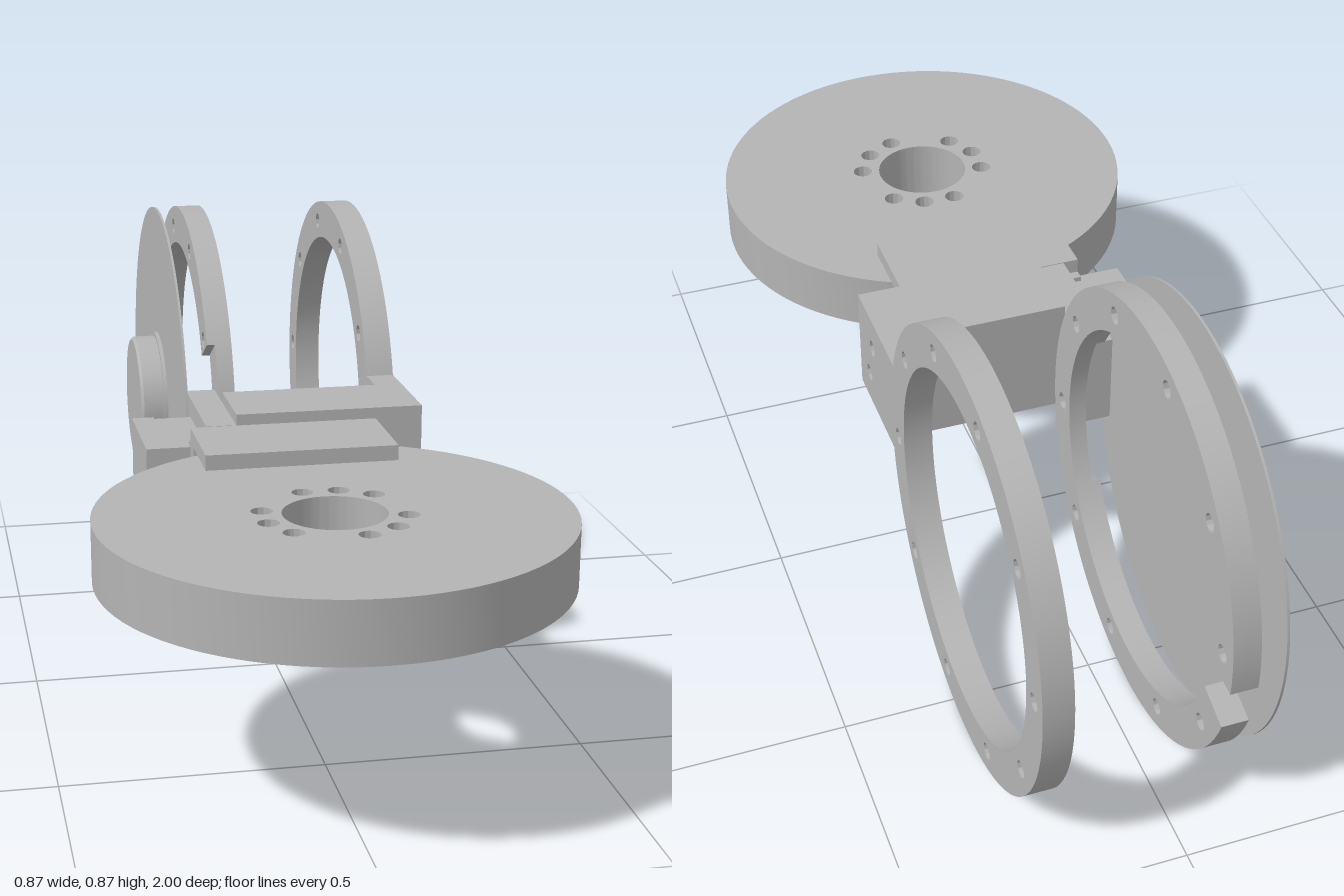
import * as THREE from 'three';
import { toCreasedNormals } from 'three/addons/utils/BufferGeometryUtils.js';

const grey = new THREE.MeshStandardMaterial({ color: 0xb4b4b4 });
grey.name = 'grey';
const RAD = Math.PI / 180;
const R = 0.433, INNER = 0.352, CU = 0.567, CY = 0.433; // shared ring centre and radii

export function createModel() {
  const model = new THREE.Group();

  function add(name, geometry) {
    const mesh = new THREE.Mesh(geometry, grey);
    mesh.name = name;
    model.add(mesh);
    return mesh;
  }
  // Box from its limits on each axis
  function box(name, x0, x1, y0, y1, z0, z1) {
    add(name, new THREE.BoxGeometry(x1 - x0, y1 - y0, z1 - z0))
      .position.set((x0 + x1) / 2, (y0 + y1) / 2, (z0 + z1) / 2);
  }
  function circle(type, x, y, r) {
    const c = new type();
    c.absarc(x, y, r, 0, Math.PI * 2, false);
    return c;
  }
  function extrude(shape, depth, segments = 48) {
    return new THREE.ExtrudeGeometry(shape, { depth, bevelEnabled: false, curveSegments: segments });
  }
  // Plates standing upright: drawn in (-z, y), extruded along x
  function upright(name, shape, x0, x1) {
    const g = extrude(shape, x1 - x0).rotateY(Math.PI / 2).translate(x0, 0, 0);
    add(name, toCreasedNormals(g, 0.5));
  }
  // Plates lying flat: drawn in (x, -z), extruded upward
  function flat(name, shape, y0, y1) {
    const g = extrude(shape, y1 - y0).rotateX(-Math.PI / 2).translate(0, y0, 0);
    add(name, toCreasedNormals(g, 0.5));
  }
  // Sector of a ring with the bolt holes that fall inside it
  function ringSector(from, to) {
    const s = new THREE.Shape();
    s.absarc(CU, CY, R, from * RAD, to * RAD, false);
    s.absarc(CU, CY, INNER, to * RAD, from * RAD, true);
    s.closePath();
    boltHoles(s, from, to);
    return s;
  }
  function boltHoles(shape, from, to) {
    for (let a = 3 - 360; a < 360; a += 36) {
      if (a < from + 2.6 || a > to - 2.6) continue;
      shape.holes.push(circle(THREE.Path, CU + 0.39 * Math.cos(a * RAD), CY + 0.39 * Math.sin(a * RAD), 0.017));
    }
  }

  // Horizontal wheel with central bore and nine holes
  const wheelZ = 0.567;
  function wheelShape(radius, skipped) {
    const s = circle(THREE.Shape, 0, -wheelZ, radius);
    s.holes.push(circle(THREE.Path, 0, -wheelZ, 0.095));
    for (let i = 0; i < 12; i++) {
      if (skipped.includes(i)) continue;
      const a = (15 + i * 30) * RAD;
      s.holes.push(circle(THREE.Path, 0.131 * Math.cos(a), -wheelZ + 0.131 * Math.sin(a), 0.02));
    }
    return s;
  }
  flat('wheel', wheelShape(R, [0, 4, 8]), 0.405, 0.52);
  flat('wheelBoss', wheelShape(0.18, []), 0.396, 0.405);

  // Left side open ring
  const openRing = circle(THREE.Shape, CU, CY, R);
  openRing.holes.push(circle(THREE.Path, CU, CY, INNER));
  boltHoles(openRing, -10, 350);
  upright('openRing', openRing, 0.225, 0.282);

  // Right side split ring, its outer layer cut away near the bracket
  upright('splitRing', ringSector(-5, 341), -0.093, -0.058);
  upright('splitRingUpperLayer', ringSector(-5, 150.5), -0.11, -0.093);
  upright('splitRingLowerLayer', ringSector(-150.5, -19), -0.11, -0.093);

  // Thin cover disc and its stepped hub
  upright('coverDisc', circle(THREE.Shape, CU, CY, R), -0.162, -0.157);
  const hubProfile = [[0.152, 0], [0.152, 0.008], [0.143, 0.008], [0.143, 0.052], [0.137, 0.058], [0, 0.058]]
    .map(([r, h]) => new THREE.Vector2(r, h));
  const hub = new THREE.LatheGeometry(hubProfile, 64).rotateZ(Math.PI / 2);
  add('hub', toCreasedNormals(hub, 0.5)).position.set(-0.162, CY, -CU);

  // Bracket between the wheel and the rings
  box('bracketBlock', -0.095, 0.225, 0.357, 0.572, -0.085, 0.087);
  const arm = new THREE.Shape();
  arm.moveTo(-0.087, 0.357);
  arm.lineTo(0.16, 0.357);
  arm.lineTo(0.16, 0.572);
  arm.lineTo(-0.087, 0.572);
  arm.closePath();
  arm.holes.push(circle(THREE.Path, 0.006, 0.503, 0.017), circle(THREE.Path, -0.022, 0.424, 0.017));
  upright('ringArm', arm, 0.225, 0.282);

  // Clip and side block
  box('clip', -0.155, -0.095, 0.357, 0.55, -0.19, 0.085);
  box('sideBlock', -0.23, -0.155, 0.357, 0.51, -0.13, 0.085);
  box('sideBlockEnd', -0.275, -0.23, 0.357, 0.51, -0.143, 0.085);

  // Wheel holder: top plate, upright web and bottom lip
  box('topPlate', -0.187, 0.187, 0.52, 0.55, 0.087, 0.278);
  box('web', -0.187, 0.187, 0.3, 0.52, 0.067, 0.122);
  box('bottomPlate', -0.187, 0.187, 0.325, 0.357, -0.08, 0.067);

  return model;
}
